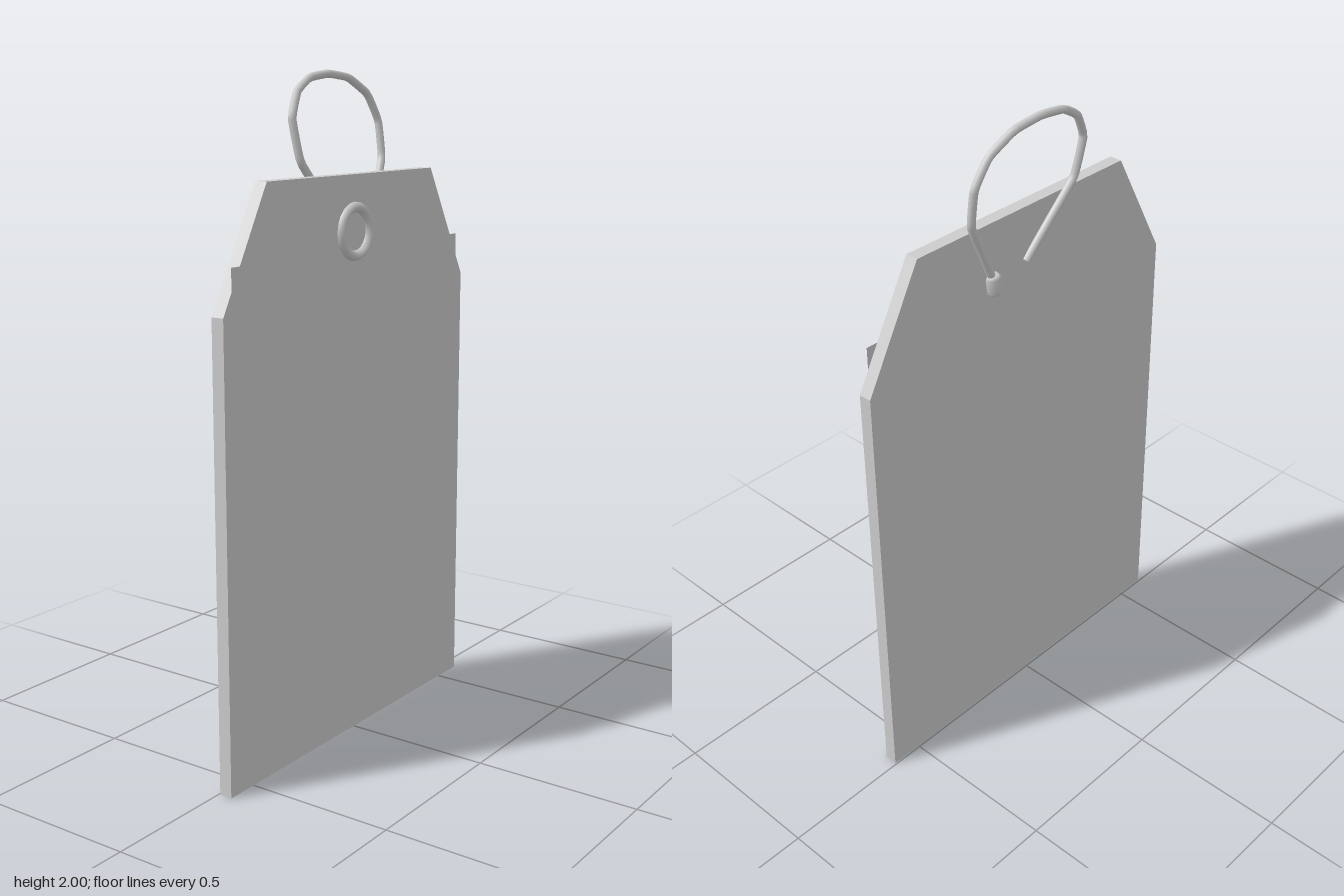
import * as THREE from 'three';

const grey = new THREE.MeshStandardMaterial({ color: 0xcccccc });
grey.name = 'grey';
const greyTwoSided = new THREE.MeshStandardMaterial({ color: 0xcccccc, side: THREE.DoubleSide });
greyTwoSided.name = 'greyTwoSided';

const shapeOf = (pts) => new THREE.Shape(pts.map(([x, y]) => new THREE.Vector2(x, y)));

export function createModel() {
  const group = new THREE.Group();
  group.name = 'hangTag';
  const add = (name, geometry, material = grey) => {
    const mesh = new THREE.Mesh(geometry, material);
    mesh.name = name;
    group.add(mesh);
    return mesh;
  };

  // Card with chamfered top corners
  const card = shapeOf([[-0.6, 0], [0.6, 0], [0.6, 1.36], [0.41, 1.705], [-0.41, 1.705], [-0.6, 1.36]]);
  add('card', new THREE.ExtrudeGeometry(card, { depth: 0.04, bevelEnabled: false })).position.z = 0.005;

  // Thin face sheet whose square corners stick out past the chamfers
  const sheet = shapeOf([[-0.565, 0.01], [0.565, 0.01], [0.565, 1.49], [-0.565, 1.49]]);
  add('faceSheet', new THREE.ShapeGeometry(sheet), greyTwoSided).position.z = 0.0455;

  // Raised eyelet ring on the front
  const ringProfile = [[0.086, 0], [0.085, 0.006], [0.08, 0.013], [0.072, 0.017],
    [0.064, 0.014], [0.057, 0.007], [0.055, 0]].map(([r, h]) => new THREE.Vector2(r, h));
  const eyelet = add('eyelet', new THREE.LatheGeometry(ringProfile, 32), greyTwoSided);
  eyelet.rotation.x = Math.PI / 2;
  eyelet.position.set(0, 1.54, 0.045);

  // Cord loop leaning backward as it rises
  const path = [[0, 1.54], [-0.085, 1.642], [-0.17, 1.745], [-0.19, 1.865], [-0.153, 1.94], [-0.09, 1.977],
    [0, 1.988], [0.1, 1.977], [0.19, 1.93], [0.236, 1.85], [0.237, 1.74], [0.185, 1.635], [0.13, 1.525]]
    .map(([x, y]) => new THREE.Vector3(x, y, 0.001 - (y - 1.54) * 0.115));
  const curve = new THREE.CatmullRomCurve3(path, false, 'catmullrom', 0.15);
  add('cord', new THREE.TubeGeometry(curve, 60, 0.012, 8), greyTwoSided);

  // Small bevelled knob on the cord's end
  const knobProfile = [[0, -0.033], [0.018, -0.031], [0.025, -0.022], [0.025, 0.022], [0.018, 0.031], [0, 0.033]]
    .map(([r, h]) => new THREE.Vector2(r, h));
  const knob = add('cordKnob', new THREE.LatheGeometry(knobProfile, 12));
  knob.position.set(0.132, 1.52, 0.003);
  knob.rotation.z = -0.15;

  return group;
}
